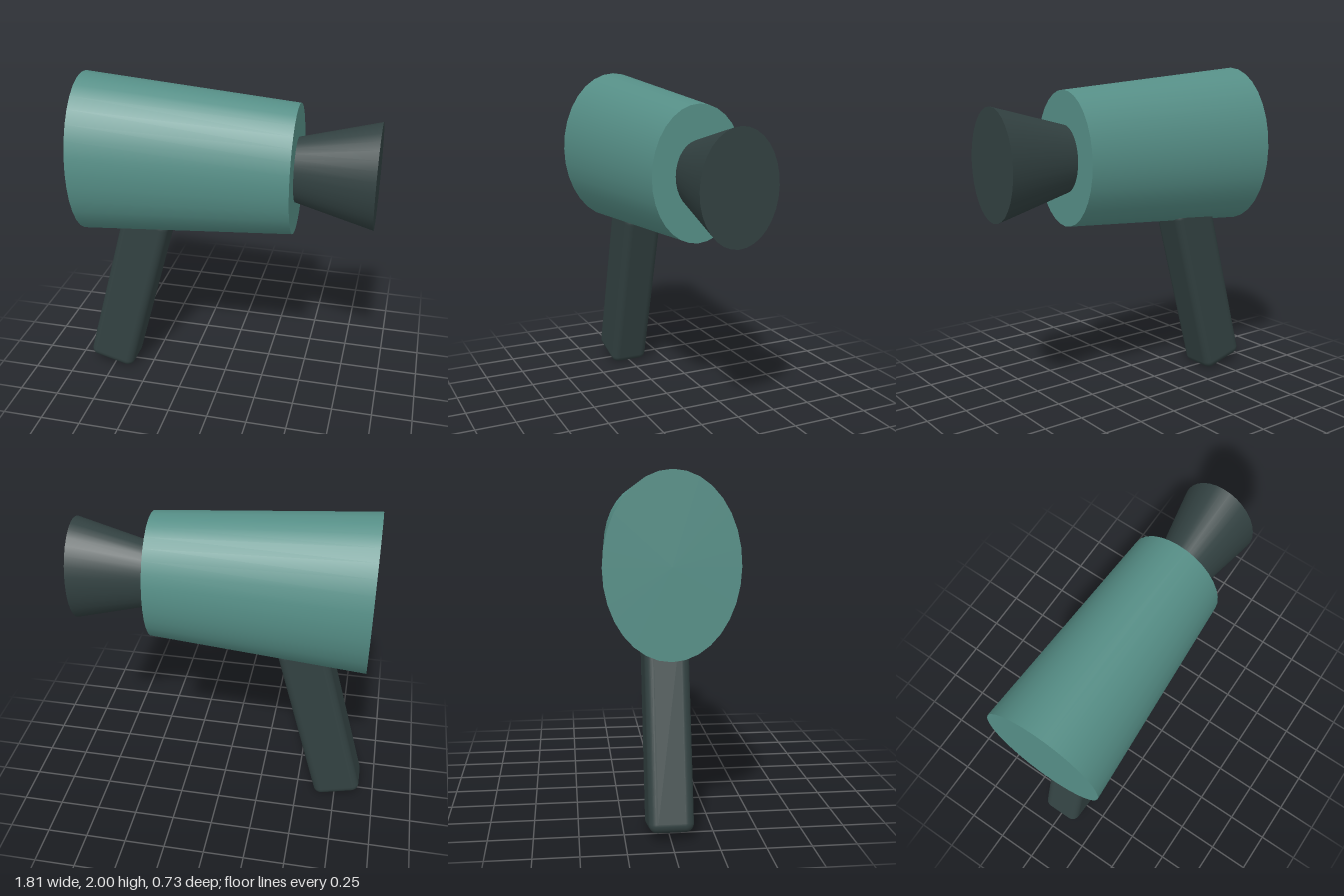
import * as THREE from 'three';
import { RoundedBoxGeometry } from 'three/addons/geometries/RoundedBoxGeometry.js';

const AXIS_Y = 1.503;
const FLATTEN = 0.73; // oval section: depth relative to height

export function createModel() {
  const teal = new THREE.MeshStandardMaterial({ name: 'teal', color: 0x568f87 });
  const charcoal = new THREE.MeshStandardMaterial({ name: 'charcoal', color: 0x324141 });
  const model = new THREE.Group();
  model.name = 'hairDryer';

  // Oval tapered barrel lying along x, from x0 (radius r0) to x1 (radius r1)
  function ovalCone(name, x0, x1, r0, r1, material) {
    const geometry = new THREE.CylinderGeometry(r1, r0, x1 - x0, 32);
    geometry.rotateZ(-Math.PI / 2);
    geometry.scale(1, 1, FLATTEN);
    const mesh = new THREE.Mesh(geometry, material);
    mesh.name = name;
    mesh.position.set((x0 + x1) / 2, AXIS_Y, 0);
    model.add(mesh);
  }

  ovalCone('body', -0.87, 0.433, 0.497, 0.398, teal);
  ovalCone('nozzle', 0.425, 0.905, 0.197, 0.324, charcoal);

  // Rounded grip, leaning forward 15 degrees into the body
  const length = 1.15;
  const tilt = THREE.MathUtils.degToRad(15);
  const handle = new THREE.Mesh(new RoundedBoxGeometry(0.3, length, 0.25, 4, 0.05), charcoal);
  handle.name = 'handle';
  handle.rotation.z = -tilt;
  handle.position.set(
    -0.77 + Math.sin(tilt) * length / 2,
    0.028 + Math.cos(tilt) * length / 2,
    0
  );
  model.add(handle);

  return model;
}
